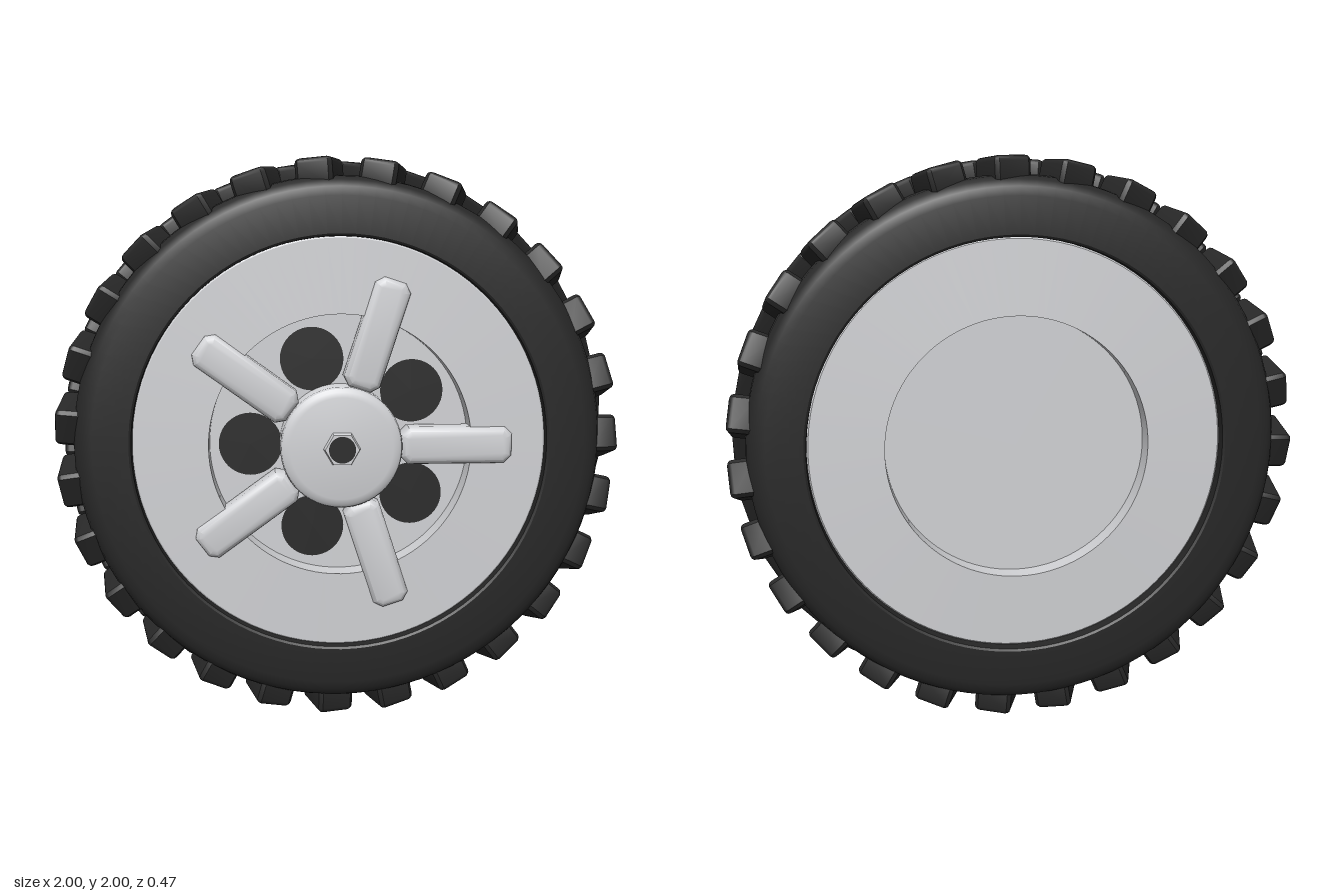
import * as THREE from 'three';
import { toCreasedNormals } from 'three/addons/utils/BufferGeometryUtils.js';

const rubber = new THREE.MeshStandardMaterial({ color: 0x272727 });
rubber.name = 'black rubber';
const silver = new THREE.MeshStandardMaterial({ color: 0xd2d3d6 });
silver.name = 'silver metal';
const dark = new THREE.MeshStandardMaterial({ color: 0x292929 });
dark.name = 'dark hole';

// Solid of revolution about the z axis; points are [radius, z]
function turned(points, segments = 96) {
  const geo = new THREE.LatheGeometry(points.map(([r, z]) => new THREE.Vector2(r, z)), segments);
  geo.rotateX(Math.PI / 2);
  return toCreasedNormals(geo, 0.55);
}

// Centred block with softened edges (bevel b) and cut corners (c)
function bevelBlock(w, h, d, b, c, segments) {
  const x = w / 2 - b, y = h / 2 - b;
  const shape = new THREE.Shape([
    [c - x, -y], [x - c, -y], [x, c - y], [x, y - c],
    [x - c, y], [c - x, y], [-x, y - c], [-x, c - y],
  ].map(([px, py]) => new THREE.Vector2(px, py)));
  const geo = new THREE.ExtrudeGeometry(shape, {
    depth: d - 2 * b, bevelThickness: b, bevelSize: b, bevelSegments: segments,
  });
  geo.translate(0, 0, -(d / 2 - b));
  return toCreasedNormals(geo, 0.6);
}

export function createModel() {
  const model = new THREE.Group();
  model.name = 'wheel';
  const wheel = new THREE.Group();
  wheel.name = 'wheelAssembly';
  wheel.position.y = 1;
  model.add(wheel);

  function add(name, geometry, material, parent = wheel) {
    const mesh = new THREE.Mesh(geometry, material);
    mesh.name = name;
    parent.add(mesh);
    return mesh;
  }

  // Tyre carcass with rounded shoulders, a closed ring section
  add('tyre', turned([
    [0.73, -0.23], [0.738, -0.235], [0.865, -0.235], [0.895, -0.228], [0.918, -0.21], [0.932, -0.18],
    [0.938, -0.14], [0.938, 0.105], [0.932, 0.145], [0.918, 0.175], [0.895, 0.193], [0.865, 0.2],
    [0.738, 0.2], [0.73, 0.195], [0.73, -0.23],
  ]), rubber);

  // Two staggered rows of slanted tread blocks forming a V
  const count = 27, step = Math.PI * 2 / count, tilt = THREE.MathUtils.degToRad(18);
  for (const [name, z, slant, offset] of [
    ['frontTread', 0.076, -tilt, 0.06], ['backTread', -0.111, tilt, 0.56],
  ]) {
    const row = new THREE.Group();
    row.name = name;
    wheel.add(row);
    const geo = bevelBlock(0.177, 0.132, 0.11, 0.018, 0.002, 3);
    geo.rotateY(Math.PI / 2);
    geo.rotateX(slant);
    geo.translate(0.942, 0, z);
    for (let i = 0; i < count; i++) {
      add('treadBlock', geo, rubber, row).rotation.z = (i + offset) * step;
    }
  }

  // Slightly conical rim disc, recessed on both faces
  add('rim', turned([
    [0, -0.122], [0.465, -0.122], [0.465, -0.199], [0.725, -0.19], [0.735, -0.18],
    [0.735, 0.154], [0.725, 0.161], [0.465, 0.167], [0.465, 0.083], [0, 0.083],
  ]), silver);

  // Hub cap with a rounded edge
  add('hub', turned([
    [0.215, 0.07], [0.215, 0.19], [0.21, 0.203], [0.198, 0.212], [0.18, 0.216], [0, 0.218],
  ], 64), silver);

  // Tapered hexagonal axle nut with a dark bore
  const nut = new THREE.CylinderGeometry(0.06, 0.07, 0.04, 6);
  nut.rotateX(Math.PI / 2);
  nut.rotateZ(Math.PI / 6);
  add('axleNut', toCreasedNormals(nut, 0.3), silver).position.z = 0.218;
  add('axleBore', new THREE.CircleGeometry(0.047, 32), dark).position.z = 0.24;

  // Five spokes with round openings between them
  const spokeGeo = bevelBlock(0.4, 0.134, 0.12, 0.03, 0.01, 3);
  spokeGeo.translate(0.412, 0, 0.129);
  const holeGeo = new THREE.CircleGeometry(0.113, 40);
  holeGeo.translate(0.32, 0, 0.086);
  for (let i = 0; i < 5; i++) {
    const angle = i * Math.PI * 2 / 5;
    add('spoke', spokeGeo, silver).rotation.z = angle;
    add('opening', holeGeo, dark).rotation.z = angle + Math.PI / 5;
  }
  return model;
}
